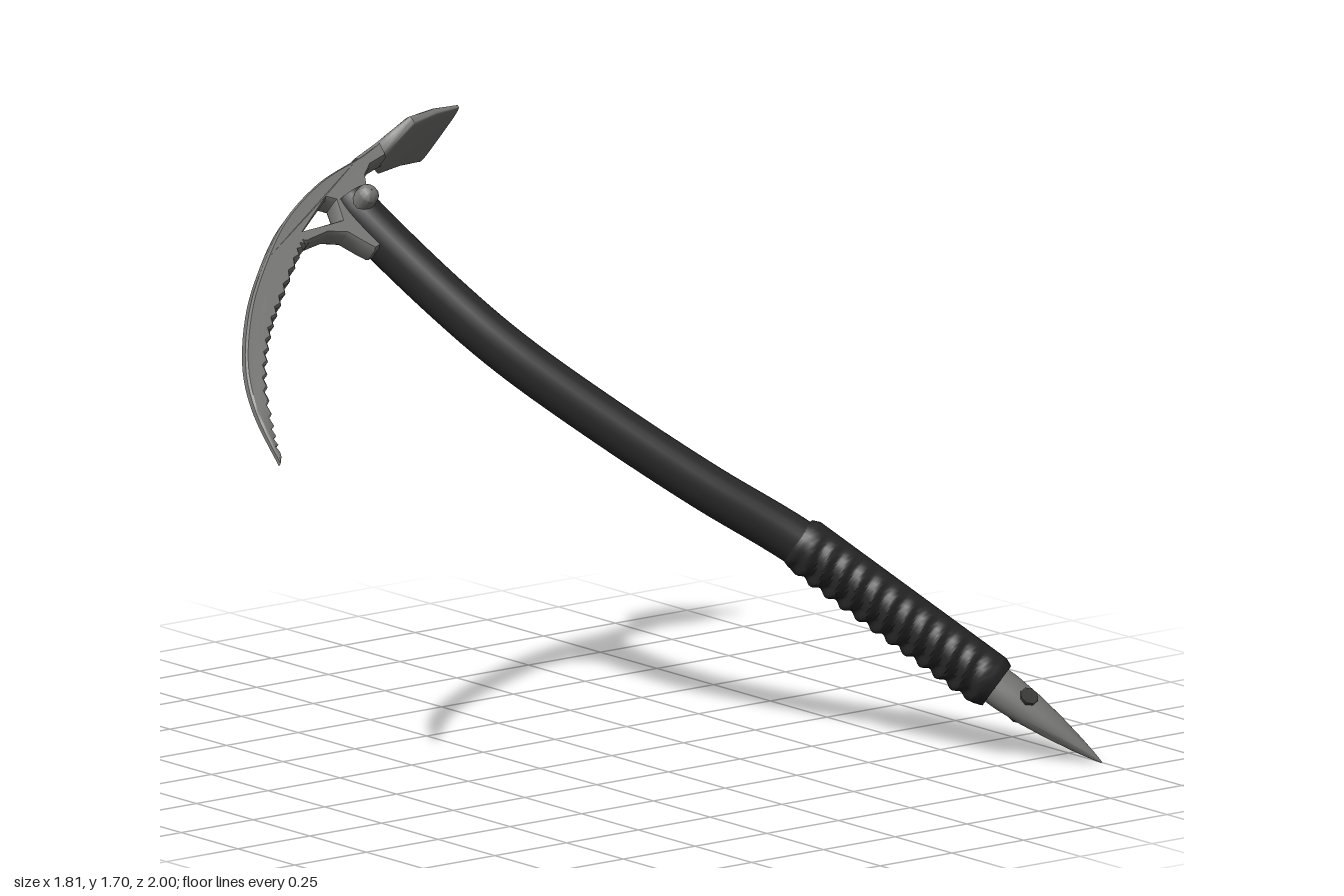
import * as THREE from 'three';
import { toCreasedNormals } from 'three/addons/utils/BufferGeometryUtils.js';

const material = (name, color, extra = {}) => {
  const m = new THREE.MeshStandardMaterial({ color, ...extra });
  m.name = name;
  return m;
};

const v2 = ([x, y]) => new THREE.Vector2(x, y);

// Skin over cross-sections [a, b, in-plane radius, sideways radius, sideways offset].
// power < 1 squares the section; bump(s, angle) adds to the radius.
function loft(sections, sides = 24, power = 1, bump = () => 0) {
  const pos = [], index = [];
  const last = sections.length - 1;
  const soft = (x) => Math.sign(x) * Math.abs(x) ** power;
  sections.forEach(([a, b, rm, rn, off = 0], i) => {
    const p = sections[Math.max(i - 1, 0)], q = sections[Math.min(i + 1, last)];
    const t = new THREE.Vector2(q[0] - p[0], q[1] - p[1]).normalize();
    for (let j = 0; j < sides; j++) {
      const angle = (j / sides) * Math.PI * 2;
      const extra = bump(i / last, angle);
      const c = soft(Math.cos(angle)) * (rm + extra);
      const s = soft(Math.sin(angle)) * (rn + extra);
      pos.push(a - t.y * c, b + t.x * c, off + s);
    }
  });
  for (let i = 0; i < last; i++) {
    for (let j = 0; j < sides; j++) {
      const k = (j + 1) % sides;
      const A = i * sides + j, B = i * sides + k;
      index.push(A, B, A + sides, B, B + sides, A + sides);
    }
  }
  // End caps
  [0, last].forEach((i) => {
    const [a, b, , , off = 0] = sections[i];
    const centre = pos.length / 3;
    pos.push(a, b, off);
    for (let j = 0; j < sides; j++) {
      const A = i * sides + j, B = i * sides + ((j + 1) % sides);
      index.push(centre, ...(i ? [A, B] : [B, A]));
    }
  });
  const g = new THREE.BufferGeometry();
  g.setAttribute('position', new THREE.Float32BufferAttribute(pos, 3));
  g.setIndex(index);
  return toCreasedNormals(g, 0.7);
}

// Pick, neck and tang as one plate with a window
function pickGeometry() {
  const top = new THREE.SplineCurve([
    [-0.158, 0.178], [-0.078, 0.147], [0.083, 0.098], [0.243, 0.01], [0.377, -0.11],
    [0.484, -0.233], [0.575, -0.386], [0.615, -0.53], [0.62, -0.7],
  ].map(v2)).getPoints(40);
  const under = new THREE.SplineCurve([
    [0.607, -0.68], [0.585, -0.595], [0.537, -0.454], [0.457, -0.323],
    [0.36, -0.216], [0.243, -0.1], [0.2, -0.07],
  ].map(v2)).getPoints(44);
  // Saw teeth along the underside
  under.forEach((p, i) => {
    if (i % 2 && i > 2 && i < 42) p.add(new THREE.Vector2(0.008, 0.008));
  });
  const tang = [
    [0.136, -0.06], [0.08, -0.075], [0.045, -0.115], [0.02, -0.14], [-0.05, -0.12],
    [-0.05, 0.04], [-0.065, 0.085], [-0.095, 0.112], [-0.158, 0.13],
  ].map(v2);
  const shape = new THREE.Shape([...top, ...under, ...tang]);
  shape.holes.push(new THREE.Path(
    [[0.205, -0.035], [0.09, 0.043], [0.068, 0.03], [0.078, -0.028], [0.12, -0.03]].map(v2)));
  const g = new THREE.ExtrudeGeometry(shape, {
    depth: 0.05, bevelEnabled: true, bevelThickness: 0.012,
    bevelSize: 0.006, bevelOffset: -0.006, bevelSegments: 1,
  });
  g.translate(0, 0, -0.025);
  // Thin the plate toward the tip
  const p = g.attributes.position;
  for (let i = 0; i < p.count; i++) {
    const reach = THREE.MathUtils.clamp((p.getX(i) - p.getY(i)) / 1.3, 0, 1);
    p.setZ(i, p.getZ(i) * (1 - 0.75 * reach));
  }
  return toCreasedNormals(g, 0.6);
}

export function createModel() {
  const metal = material('grey steel', 0x7a7a78, { side: THREE.DoubleSide });
  const black = material('black shaft', 0x2b2b2b);
  const rubber = material('black grip', 0x262626);
  const hollow = material('dark hole', 0x3a3a39);

  const axe = new THREE.Group();
  axe.name = 'iceAxe';
  const add = (name, geometry, mat) => {
    const mesh = new THREE.Mesh(geometry, mat);
    mesh.name = name;
    axe.add(mesh);
    return mesh;
  };

  // Curved oval shaft
  const spine = new THREE.SplineCurve([
    [0, 0.04], [-0.02, -0.04], [-0.13, -0.3], [-0.25, -0.53], [-0.425, -0.787],
    [-0.62, -1.044], [-0.816, -1.276], [-1, -1.55], [-1.17, -1.805],
  ].map(v2));
  add('shaft', loft(spine.getPoints(48).map((p) => [p.x, p.y, 0.06, 0.071])), black);

  // Grip with slanted ridges on its front side
  const gripSections = [];
  const steps = 90;
  for (let i = 0; i <= steps; i++) {
    const s = i / steps;
    const end = Math.min(1, 0.87 + Math.min(s, 1 - s) * 4);
    gripSections.push([
      THREE.MathUtils.lerp(-0.815, -1.185, s), THREE.MathUtils.lerp(-1.265, -1.83, s),
      0.073 * end, 0.081 * end,
    ]);
  }
  const ridges = (s, angle) => {
    const front = Math.max(0, Math.cos(angle) + 0.35);
    const fade = Math.min(1, s * 8, (1 - s) * 8);
    return 0.006 * front * fade * Math.sin(s * 80 + 3 * Math.abs(Math.sin(angle)));
  };
  add('grip', loft(gripSections, 32, 1, ridges), rubber);

  // Spike and its cord hole
  const spike = [[0, 0.058, 0.05], [0.2, 0.058, 0.05], [0.4, 0.051, 0.044], [0.6, 0.039, 0.033],
    [0.8, 0.023, 0.019], [0.93, 0.01, 0.009], [1, 0.002, 0.002]];
  add('spike', loft(spike.map(([s, rm, rn]) => [
    THREE.MathUtils.lerp(-1.16, -1.38, s), THREE.MathUtils.lerp(-1.79, -2.127, s), rm, rn,
  ])), metal);
  const hole = add('spikeHole', new THREE.CylinderGeometry(0.027, 0.027, 0.098, 8), hollow);
  hole.rotation.x = Math.PI / 2;
  hole.position.set(-1.232, -1.905, 0);

  // Head: pick plate and broad adze
  add('pick', pickGeometry(), metal);
  add('adze', loft([
    [-0.07, 0.128, 0.022, 0.034], [-0.16, 0.16, 0.024, 0.04, 0.01], [-0.2, 0.175, 0.023, 0.075, 0.02],
    [-0.245, 0.19, 0.021, 0.132, 0.035], [-0.33, 0.202, 0.017, 0.136, 0.042],
    [-0.405, 0.2, 0.01, 0.14, 0.045],
  ], 32, 0.5), metal);

  // Domed bolt through the shaft
  const dome = [[0.001, -0.116], [0.018, -0.112], [0.03, -0.098], [0.032, -0.07]];
  const profile = [...dome, ...dome.map(([r, h]) => [r, -h]).reverse()].map(v2);
  add('bolt', toCreasedNormals(new THREE.LatheGeometry(profile, 12), 0.7), metal)
    .rotation.x = Math.PI / 2;

  // Lean the whole axe into its resting plane
  const n = new THREE.Vector3(0.72, 0.69, 0.079).normalize().negate();
  const up = new THREE.Vector3().crossVectors(n, new THREE.Vector3(0, 0, 1)).normalize();
  const along = new THREE.Vector3().crossVectors(up, n);
  axe.quaternion.setFromRotationMatrix(new THREE.Matrix4().makeBasis(along, up, n));
  axe.position.set(-0.65, 1.47, 0.38);

  const model = new THREE.Group();
  model.name = 'model';
  model.add(axe);
  return model;
}
